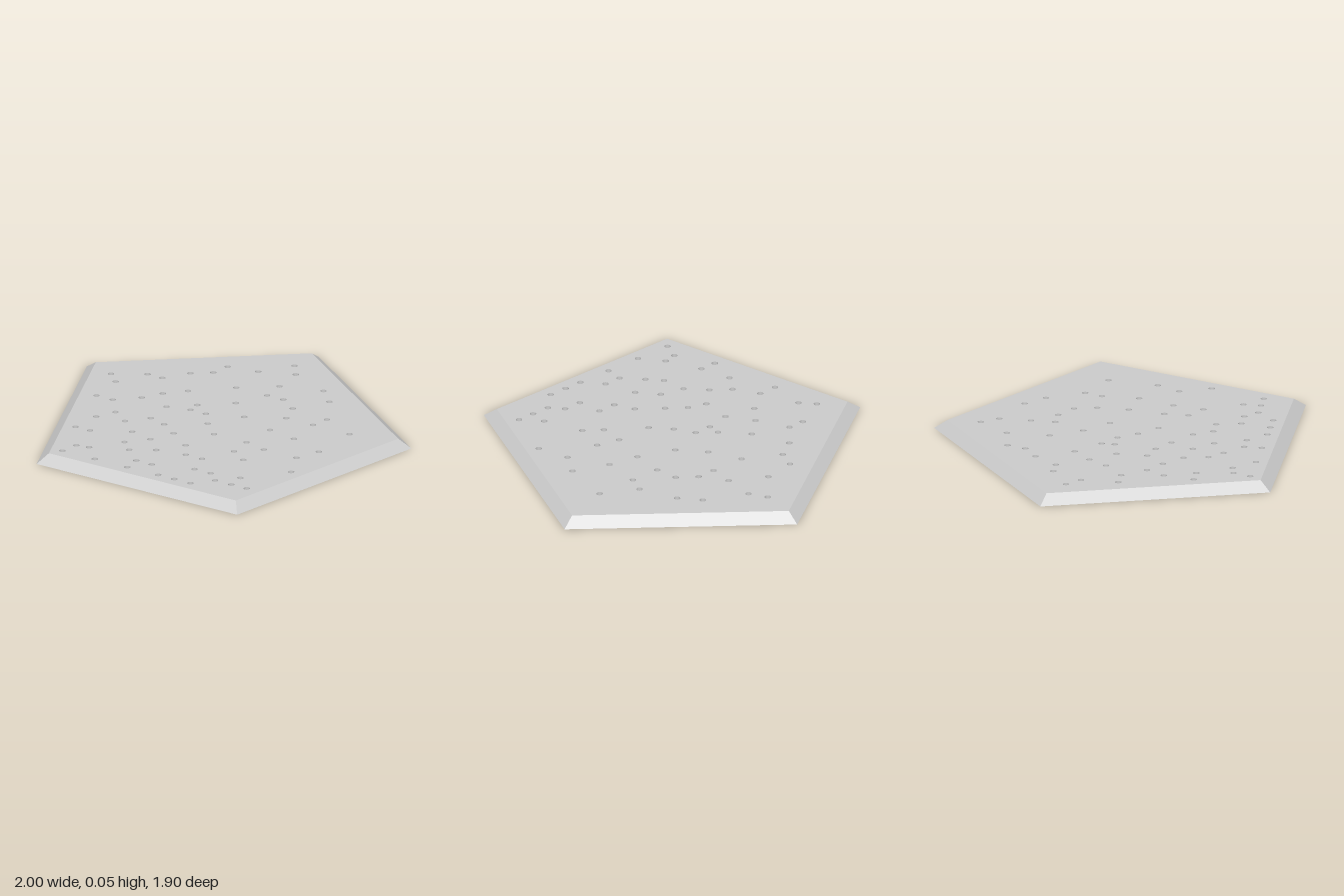
import * as THREE from 'three';

const HEIGHT = 0.05;
const BASE_RADIUS = 1.0515;
const TOP_RADIUS = 0.98;
const CENTRE_Z = 0.1;
const HOLE_RADIUS = 0.017;

// Hole rows: z, then the x of each hole
const HOLE_ROWS = [
  [-0.70, 0], [-0.61, 0.06], [-0.54, -0.13], [-0.51, -0.30, 0.29],
  [-0.44, 0.06], [-0.41, -0.33, 0.385], [-0.34, -0.43],
  [-0.31, -0.13, 0.06, 0.16], [-0.24, 0.26], [-0.215, -0.62, -0.53, 0.485],
  [-0.145, -0.33, -0.035], [-0.12, -0.79, 0.29, 0.455, 0.68],
  [-0.05, -0.72, -0.43], [-0.02, -0.20, 0.09],
  [0.05, -0.50, -0.20, -0.105, 0.29], [0.08, -0.33, 0.455],
  [0.15, -0.72, -0.62, -0.035, 0.65], [0.245, -0.33, 0.06, 0.26],
  [0.275, -0.53, -0.23, 0.385, 0.585], [0.345, -0.43, -0.13],
  [0.375, -0.59, 0.26], [0.44, -0.33, 0, 0.355, 0.65], [0.47, -0.20],
  [0.54, -0.62, -0.53, 0.06, 0.16], [0.57, -0.30, -0.105],
  [0.64, -0.23, 0.455], [0.67, 0.19, 0.29], [0.72, -0.43],
  [0.735, -0.50, -0.13, -0.035, 0.355, 0.455, 0.55],
  [0.83, -0.53, -0.33, -0.13, 0.06, 0.16, 0.26],
];

function perforatedPlate() {
  // Pentagon about its own centre, one corner towards the back
  const corners = [];
  for (let i = 0; i < 5; i++) {
    const a = Math.PI / 2 + (i * Math.PI * 2) / 5;
    corners.push(new THREE.Vector2(Math.cos(a) * TOP_RADIUS, Math.sin(a) * TOP_RADIUS));
  }
  const shape = new THREE.Shape(corners);
  for (const [z, ...xs] of HOLE_ROWS) {
    for (const x of xs) {
      shape.holes.push(new THREE.Path().absarc(x, CENTRE_Z - z, HOLE_RADIUS, 0, Math.PI * 2, true));
    }
  }
  const geometry = new THREE.ExtrudeGeometry(shape, { depth: HEIGHT, bevelEnabled: false, curveSegments: 16 });
  geometry.rotateX(-Math.PI / 2);

  // Push the lower outline corners outwards to slope the rim
  const p = geometry.attributes.position;
  const flare = BASE_RADIUS / TOP_RADIUS;
  for (let i = 0; i < p.count; i++) {
    const x = p.getX(i), z = p.getZ(i);
    if (p.getY(i) < HEIGHT / 2 && Math.hypot(x, z) > TOP_RADIUS - 0.01) {
      p.setXYZ(i, x * flare, 0, z * flare);
    }
  }
  geometry.computeVertexNormals();
  return geometry.translate(0, 0, CENTRE_Z);
}

export function createModel() {
  const group = new THREE.Group();
  group.name = 'perforatedPentagon';
  const plate = new THREE.Mesh(
    perforatedPlate(),
    new THREE.MeshStandardMaterial({ color: 0xcccccc, flatShading: true })
  );
  plate.name = 'plate';
  group.add(plate);
  return group;
}
